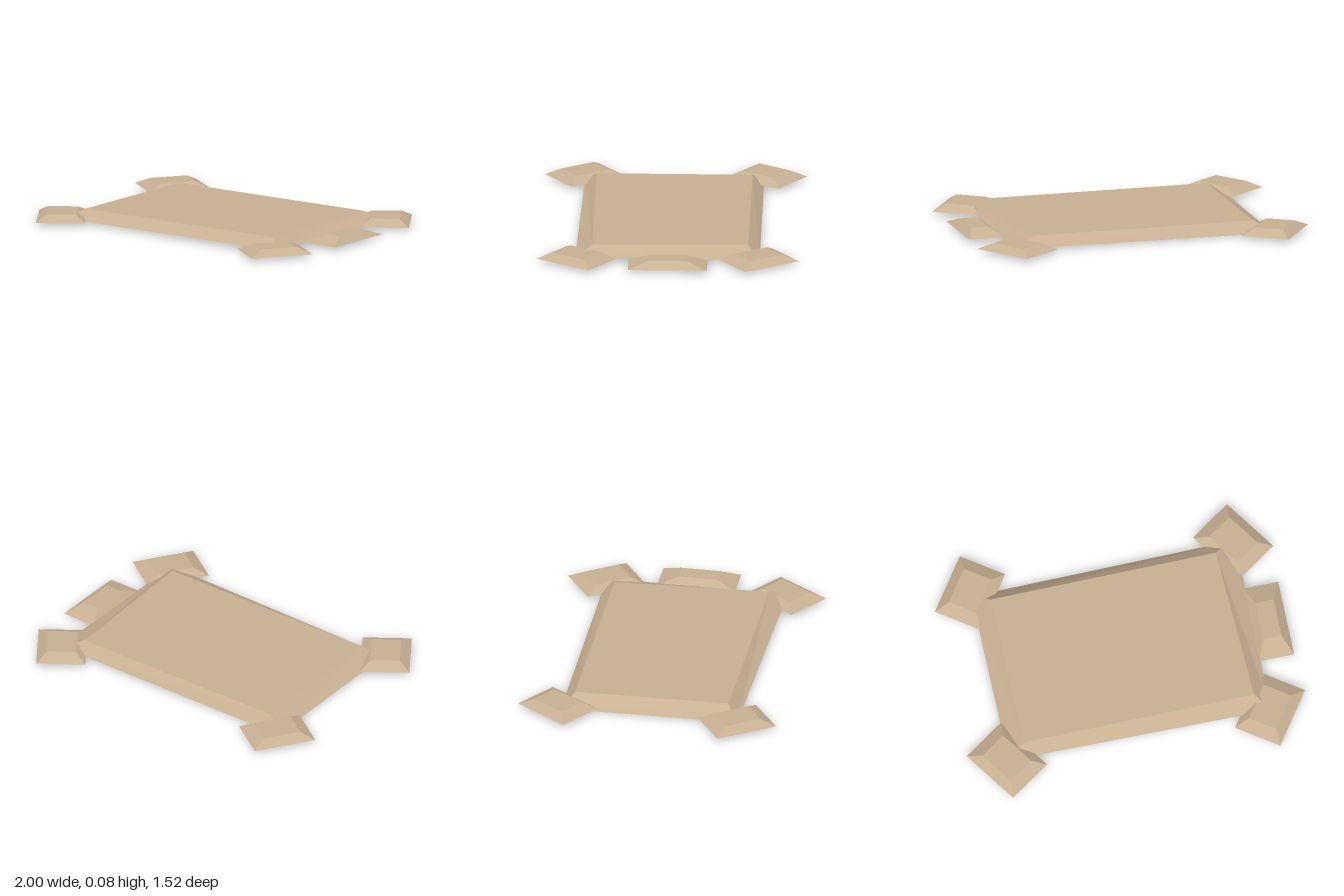
import * as THREE from 'three';

// Six-sided solid from four base and four top corners, each ordered
// back-right side of the model (-x,-z), (+x,-z), (+x,+z), (-x,+z)
function hexahedron(base, top) {
  const corners = [...base, ...top];
  const index = [0, 1, 2, 0, 2, 3, 7, 6, 5, 7, 5, 4];
  for (let i = 0; i < 4; i++) {
    const j = (i + 1) % 4;
    index.push(j, i, i + 4, j, i + 4, j + 4);
  }
  const g = new THREE.BufferGeometry();
  g.setAttribute('position', new THREE.Float32BufferAttribute(index.flatMap(i => corners[i]), 3));
  g.computeVertexNormals();
  return g;
}

// Rectangle corners at height y, from half width and half depth
const rect = (w, d, y) => [[-w, y, -d], [w, y, -d], [w, y, d], [-w, y, d]];

export function createModel() {
  const group = new THREE.Group();
  const tan = new THREE.MeshStandardMaterial({ color: 0xc8b092, flatShading: true });
  tan.name = 'tan';

  const add = (name, geometry, x = 0, z = 0, turn = 0) => {
    const mesh = new THREE.Mesh(geometry, tan);
    mesh.name = name;
    mesh.position.set(x, 0, z);
    mesh.rotation.y = turn;
    group.add(mesh);
  };

  // Slightly tilted, bevelled slab
  add('body', hexahedron(
    [[-0.77, 0, -0.51], [0.79, 0.022, -0.53], [0.78, 0.03, 0.535], [-0.765, 0.01, 0.525]],
    [[-0.67, 0.066, -0.445], [0.66, 0.076, -0.46], [0.70, 0.08, 0.44], [-0.66, 0.07, 0.455]]
  ));

  // Four bevelled corner blocks, mirrored about both axes
  const foot = hexahedron(rect(0.142, 0.185, 0.02), rect(0.085, 0.112, 0.057));
  for (const sx of [-1, 1]) {
    for (const sz of [-1, 1]) {
      const name = (sz > 0 ? 'front' : 'back') + (sx > 0 ? 'Left' : 'Right') + 'Foot';
      add(name, foot, sx * 0.776, sz * 0.525, -sx * sz * 0.603);
    }
  }

  // Bevelled block at the +x end
  add('head', hexahedron(rect(0.104, 0.228, 0.02), rect(0.053, 0.113, 0.06)), 0.877, -0.003);

  return group;
}
